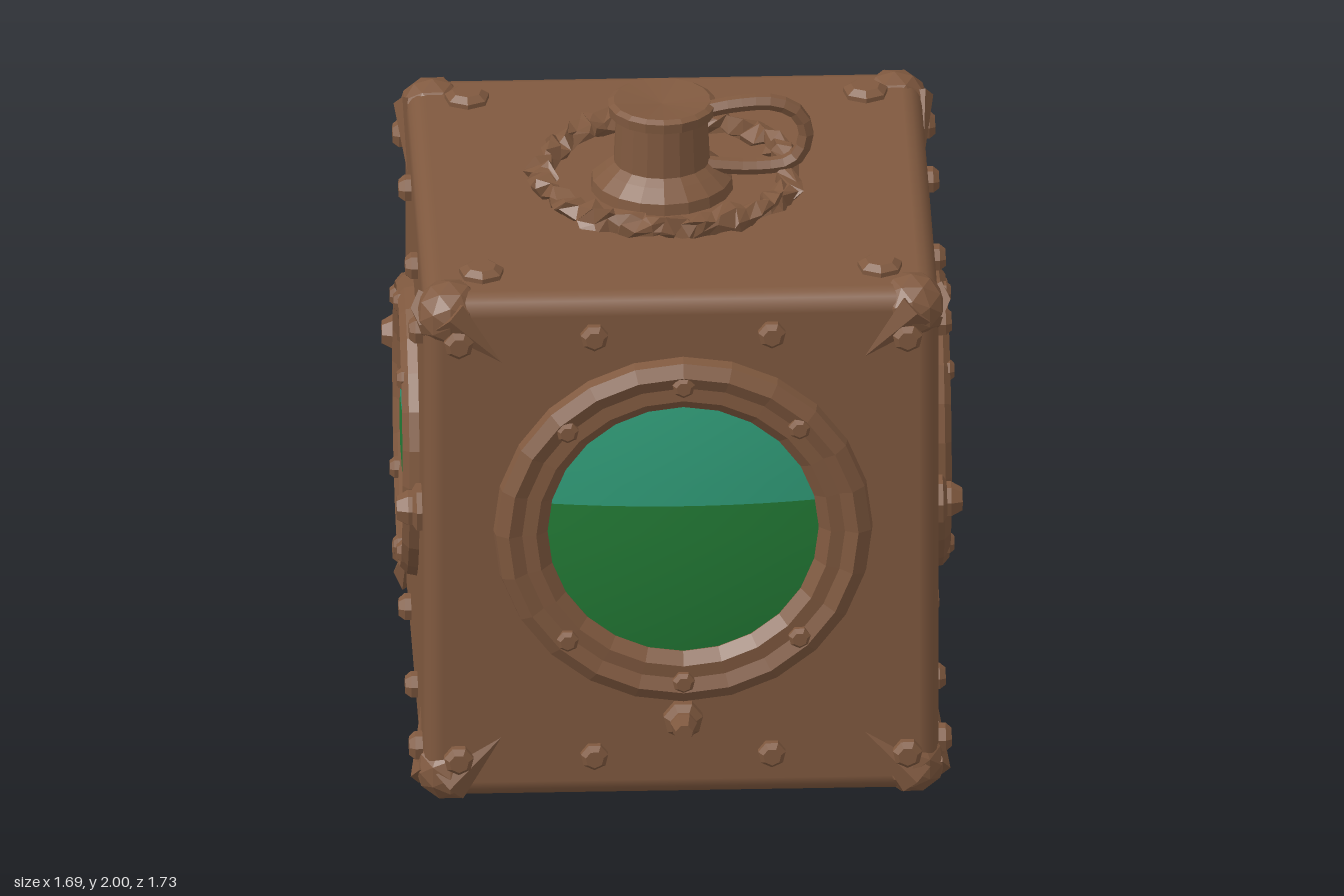
import * as THREE from 'three';
import { RoundedBoxGeometry } from 'three/addons/geometries/RoundedBoxGeometry.js';

const brown = new THREE.MeshStandardMaterial({ color: 0x80593f });
brown.name = 'rusty brown';
const teal = new THREE.MeshStandardMaterial({ color: 0x309c78 });
teal.name = 'upper teal glass';
const green = new THREE.MeshStandardMaterial({ color: 0x237c36 });
green.name = 'lower green glass';

let seed = 7;
const rand = () => {
  seed = (seed * 16807) % 2147483647;
  return seed / 2147483647 - 0.5;
};

// faceted normals
function facet(geo) {
  const g = geo.index ? geo.toNonIndexed() : geo;
  g.computeVertexNormals();
  return g;
}

function add(parent, name, geo, x = 0, y = 0, z = 0, mat = brown) {
  const m = new THREE.Mesh(geo, mat);
  m.name = name;
  m.position.set(x, y, z);
  parent.add(m);
  return m;
}

// lathe whose axis points along local +z
const ringGeo = (pts, n) =>
  facet(new THREE.LatheGeometry(pts.map(p => new THREE.Vector2(...p)), n)).rotateX(Math.PI / 2);

// chunky rivet with a chamfered head, facing +z
const rivetGeo = (r, h) => ringGeo([[r, 0], [r, h * 0.55], [r * 0.65, h], [0.0001, h]], 7);

// domed slice of a round pane between heights y0 and y1
function paneGeo(r, y0, y1, bulge) {
  const g = new THREE.PlaneGeometry(2, 1, 10, 8);
  const p = g.attributes.position;
  for (let i = 0; i < p.count; i++) {
    const a0 = Math.asin(y0 / r), a1 = Math.asin(y1 / r);
    const a = a0 + (a1 - a0) * (p.getY(i) + 0.5);
    const x = p.getX(i) * r * Math.cos(a), y = r * Math.sin(a);
    p.setXYZ(i, x, y, bulge * (1 - (x * x + y * y) / (r * r)));
  }
  g.computeVertexNormals();
  return g;
}

// one wall: round window, rivets and corner claws; local z points outward
function makeWall(name, angle, dist, opt) {
  const wall = new THREE.Group();
  wall.name = name;
  wall.rotation.y = angle;
  const { glass, outer, cy, height } = opt;

  // window frame, sloping from a raised rim into the pane
  const w = outer - glass;
  add(wall, 'windowFrame', ringGeo([
    [outer, -0.02], [outer - 0.01, height * 0.6], [outer - w * 0.3, height],
    [outer - w * 0.55, height * 0.7], [glass + 0.03, height * 0.75], [glass - 0.005, height * 0.2],
    [glass - 0.005, -0.02]], 24), 0, cy, dist);
  const split = opt.split - cy;
  add(wall, 'upperGlass', paneGeo(glass, split, glass, 0.035), 0, cy, dist + 0.008, teal);
  add(wall, 'lowerGlass', paneGeo(glass, -glass, split, 0.035), 0, cy, dist + 0.008, green);

  // rivets around the frame
  const mid = glass + w * 0.5;
  for (let i = 0; i < 8; i++) {
    if (i % 4 === 0) continue;
    const a = i * Math.PI / 4;
    add(wall, 'frameRivet', rivetGeo(0.034, 0.03),
      Math.cos(a) * mid, cy + Math.sin(a) * mid, dist + height * 0.65);
  }

  for (const sx of [-1, 1]) {
    for (const y of [0.18, 1.57])
      add(wall, 'wallRivet', rivetGeo(0.042, 0.04), sx * 0.265, y, dist - 0.003);
    if (opt.bigBolts) {
      add(wall, 'boltWasher', rivetGeo(0.075, 0.035), sx * 0.6, 0.93, dist - 0.003);
      add(wall, 'sideBolt', rivetGeo(0.055, 0.075), sx * 0.6, 0.93, dist);
    }
    // claws gripping the corners
    for (const top of [-1, 1]) {
      const claw = add(wall, 'cornerClaw',
        facet(new THREE.ConeGeometry(0.06, 0.22, 5)), sx * 0.62, 0.865 + top * 0.7, dist);
      claw.scale.z = 0.6;
      claw.rotation.z = Math.atan2(sx, -top);
      add(wall, 'clawRivet', rivetGeo(0.045, 0.04), sx * 0.67, 0.865 + top * 0.69, dist);
    }
  }
  return wall;
}

export function createModel() {
  const model = new THREE.Group();
  model.name = 'lantern';

  // box body
  add(model, 'body', new RoundedBoxGeometry(1.54, 1.66, 1.54, 2, 0.06), -0.005, 0.865, -0.01);

  // four walls
  const big = { glass: 0.41, outer: 0.57, cy: 0.93, height: 0.06, split: 1.02 };
  const small = { glass: 0.35, outer: 0.46, cy: 0.92, height: 0.05, split: 1.0, bigBolts: true };
  const front = makeWall('frontWall', 0, 0.76, big);
  const back = makeWall('backWall', Math.PI, 0.78, { ...big, height: 0.075 });
  const left = makeWall('leftWall', Math.PI / 2, 0.765, small);
  const right = makeWall('rightWall', -Math.PI / 2, 0.775, small);
  model.add(front, back, left, right);

  // front tap and round cover on one side
  add(front, 'tapBase', rivetGeo(0.06, 0.05), 0, 0.3, 0.758);
  add(front, 'tap', rivetGeo(0.04, 0.11), 0, 0.3, 0.76);
  add(left, 'roundCover', ringGeo([[0.165, 0], [0.155, 0.02], [0.0001, 0.02]], 14), 0.33, 0.31, 0.763);

  // corner caps, lid rivets and feet
  for (const sx of [-1, 1]) for (const sz of [-1, 1]) {
    for (const y of [0.115, 1.615])
      add(model, 'cornerCap', facet(new THREE.IcosahedronGeometry(0.105, 1)),
        -0.005 + sx * 0.69, y, -0.01 + sz * 0.69);
    add(model, 'lidRivet', rivetGeo(0.068, 0.035), sx * 0.595, 1.69, -0.01 + sz * 0.595)
      .rotation.x = -Math.PI / 2;
    add(model, 'foot', rivetGeo(0.075, 0.035), sx * 0.595, 0.035, -0.01 + sz * 0.595)
      .rotation.x = Math.PI / 2;
  }

  // ragged rope collar on the lid
  const rope = new THREE.TorusGeometry(0.375, 0.035, 6, 72);
  const p = rope.attributes.position;
  for (let j = 0; j <= 6; j++) for (let i = 0; i <= 72; i++) {
    const k = j * 73 + i;
    if (i === 72) p.setXYZ(k, p.getX(k - 72), p.getY(k - 72), p.getZ(k - 72));
    else if (j === 6) p.setXYZ(k, p.getX(i), p.getY(i), p.getZ(i));
    else p.setXYZ(k, p.getX(k) + rand() * 0.04, p.getY(k) + rand() * 0.04, p.getZ(k) + rand() * 0.03);
  }
  rope.rotateX(-Math.PI / 2);
  add(model, 'ropeCollar', facet(rope), -0.02, 1.725, -0.03);

  // filler neck with flange and cap lip
  const neck = [[0.215, 1.69], [0.21, 1.73], [0.17, 1.765], [0.145, 1.785], [0.138, 1.93],
    [0.16, 1.94], [0.162, 1.97], [0.145, 1.98], [0.0001, 1.965]];
  add(model, 'fillerNeck', facet(new THREE.LatheGeometry(neck.map(q => new THREE.Vector2(...q)), 18)),
    -0.035, 0, -0.005);

  // looped handle
  const path = new THREE.CatmullRomCurve3([[0.08, 1.95], [0.17, 1.97], [0.3, 1.975], [0.37, 1.94],
    [0.395, 1.865], [0.355, 1.785], [0.25, 1.765], [0.08, 1.775]]
    .map(([x, y]) => new THREE.Vector3(x, y, 0)));
  add(model, 'handle', facet(new THREE.TubeGeometry(path, 18, 0.025, 6)), 0, 0, 0.02);

  return model;
}
